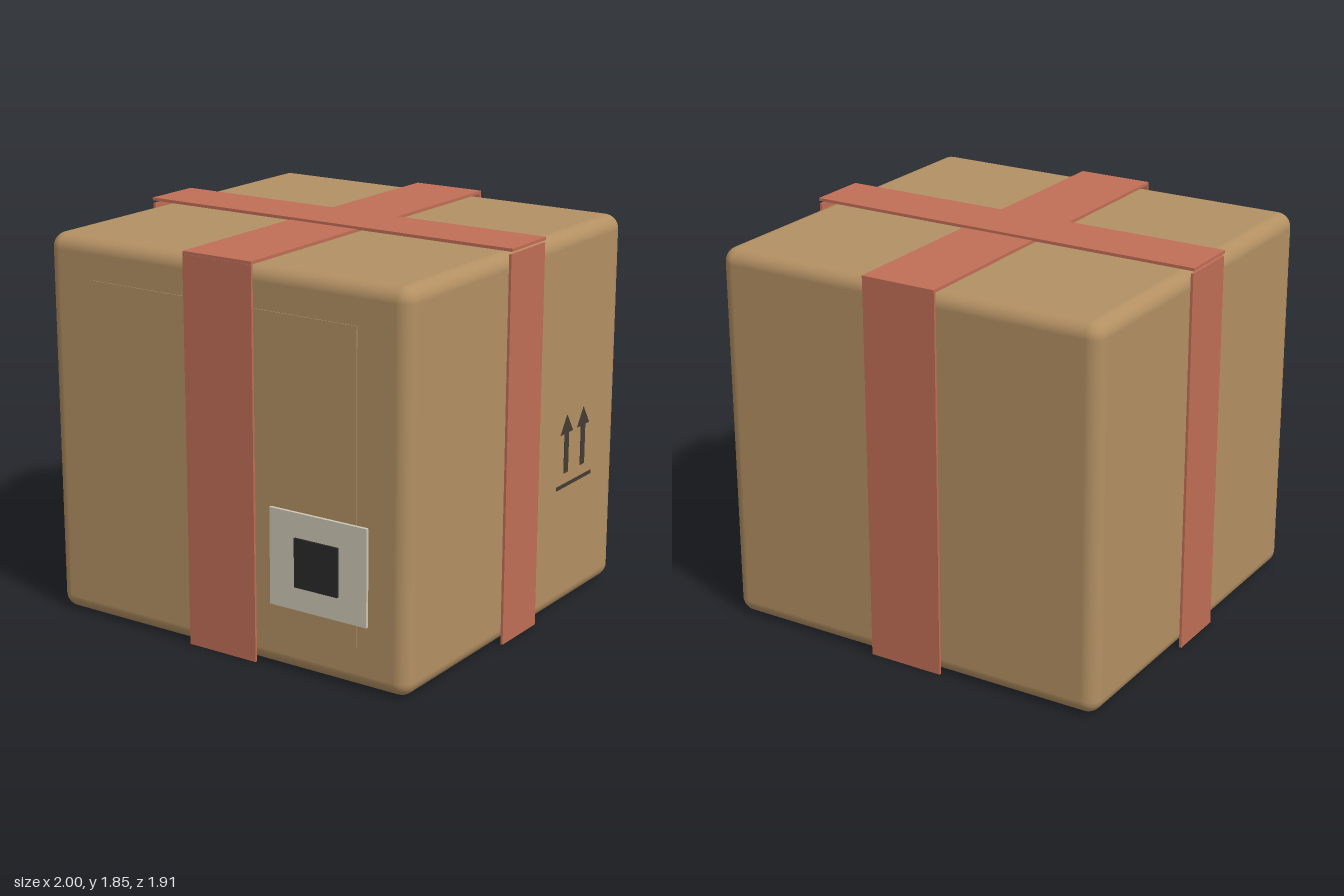
import * as THREE from 'three';
import { RoundedBoxGeometry } from 'three/addons/geometries/RoundedBoxGeometry.js';

const W = 1.96, H = 1.82, D = 1.86, CZ = -0.007;

const material = (color) => new THREE.MeshStandardMaterial({ color });

export function createModel() {
  const group = new THREE.Group();
  const cardboard = material(0xb39063);
  const tape = material(0xc06e56);
  const paper = material(0xcfc7b6);
  const black = material(0x2a2a2a);
  const ink = material(0x453d33);

  const add = (name, geometry, mat, x, y, z) => {
    const mesh = new THREE.Mesh(geometry, mat);
    mesh.name = name;
    mesh.position.set(x, y, z);
    group.add(mesh);
    return mesh;
  };
  // Box given by its lower and upper limits
  const block = (name, mat, [x0, x1], [y0, y1], [z0, z1]) =>
    add(name, new THREE.BoxGeometry(x1 - x0, y1 - y0, z1 - z0), mat,
      (x0 + x1) / 2, (y0 + y1) / 2, (z0 + z1) / 2);

  // Carton with softly rounded edges
  add('carton', new RoundedBoxGeometry(W, H, D, 5, 0.07), cardboard, 0, H / 2, CZ);

  // Shallow panel on the front face
  const front = CZ + D / 2;
  block('frontPanel', cardboard, [-0.72, 0.72], [0.195, 1.63], [front - 0.01, front + 0.004]);

  // Tape strips: two across the top, one down each side
  block('topStrapLengthwise', tape, [-0.185, 0.185], [1.822, 1.836], [-0.955, 0.937]);
  block('topStrapCrosswise', tape, [-1, 1], [1.834, 1.848], [-0.155, 0.141]);
  for (const s of [-1, 1]) {
    const z = CZ + s * 0.94;
    block(s > 0 ? 'frontStrap' : 'backStrap', tape,
      [-0.185, 0.185], [0, 1.822], [z - 0.006, z + 0.006]);
    const x = s * 0.99;
    block(s > 0 ? 'leftStrap' : 'rightStrap', tape,
      [x - 0.006, x + 0.006], [0, 1.822], [-0.155, 0.141]);
  }

  // Shipping label with a dark square
  block('label', paper, [0.275, 0.785], [0.305, 0.757], [0.931, 0.946]);
  block('labelSquare', black, [0.412, 0.64], [0.415, 0.643], [0.946, 0.956]);

  // "This way up" mark: two arrows over a bar
  const arrow = new THREE.Shape([
    [-0.02, 0.667], [0.02, 0.667], [0.02, 0.862], [0.058, 0.862],
    [0, 0.95], [-0.058, 0.862], [-0.02, 0.862],
  ].map(([x, y]) => new THREE.Vector2(x, y)));
  const arrowGeometry = new THREE.ExtrudeGeometry(arrow, { depth: 0.006, bevelEnabled: false });
  arrowGeometry.rotateY(Math.PI / 2);
  for (const z of [-0.438, -0.596]) add('upArrow', arrowGeometry, ink, W / 2 - 0.003, 0, z);
  block('arrowBar', ink, [W / 2 - 0.003, W / 2 + 0.003], [0.597, 0.615], [-0.683, -0.35]);

  return group;
}
